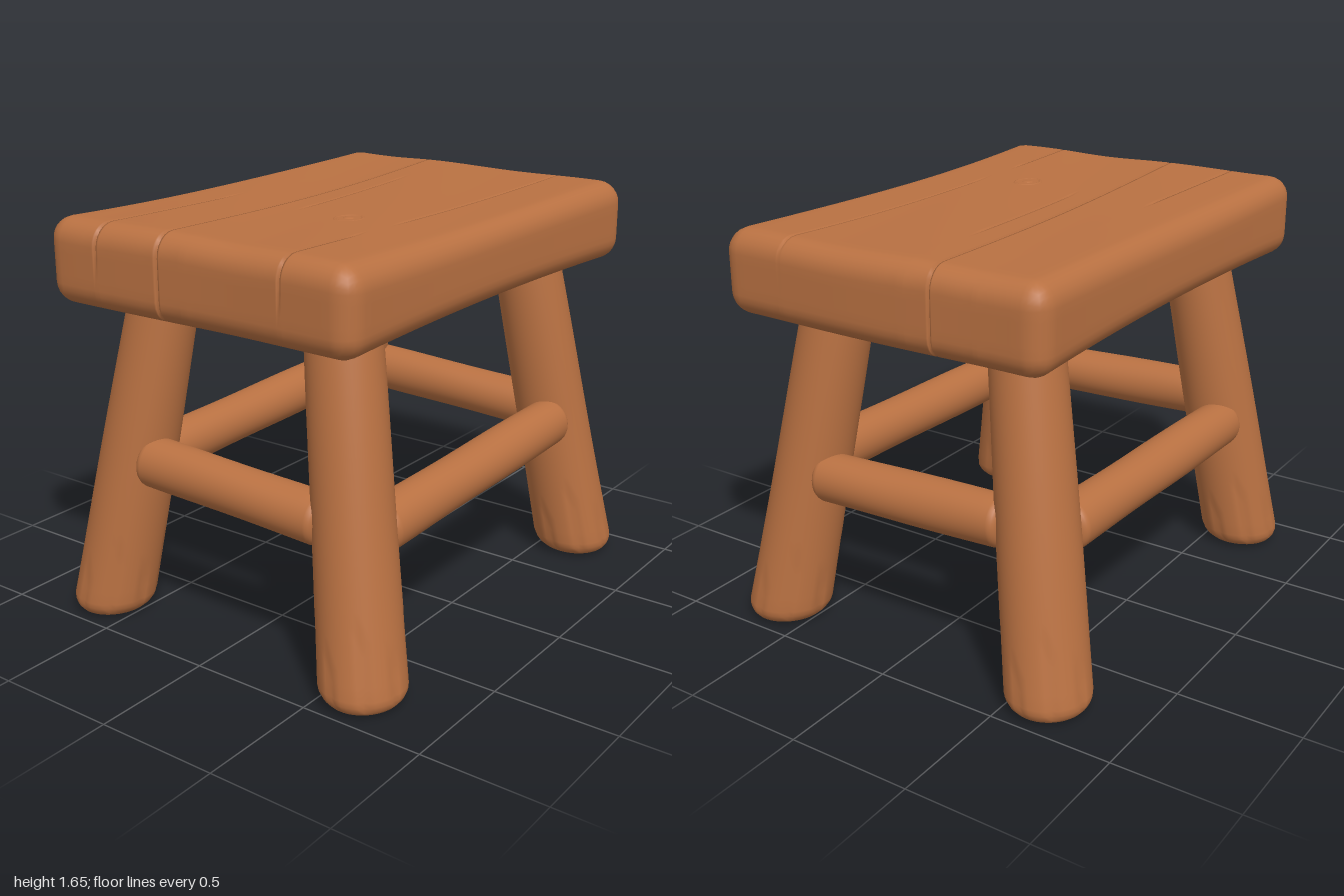
import * as THREE from 'three';
import { mergeVertices } from 'three/addons/utils/BufferGeometryUtils.js';

const wood = new THREE.MeshStandardMaterial({ color: 0xb97142 });
wood.name = 'warm wood';

// weld a geometry and move every vertex by a rule
function shape(geometry, rule) {
  geometry.deleteAttribute('uv');
  geometry.deleteAttribute('normal');
  const p = geometry.attributes.position;
  const v = new THREE.Vector3();
  for (let i = 0; i < p.count; i++) {
    rule(v.fromBufferAttribute(p, i));
    p.setXYZ(i, v.x, v.y, v.z);
  }
  const g = mergeVertices(geometry, 1e-5);
  g.computeVertexNormals();
  return g;
}

function part(name, geometry) {
  const mesh = new THREE.Mesh(geometry, wood);
  mesh.name = name;
  return mesh;
}

// upright pole with rounded ends, standing on y = 0
function pole(r0, r1, length, round, steps) {
  const pts = [new THREE.Vector2(0, 0)];
  for (let i = 0; i <= 5; i++) {
    const a = (i / 5) * Math.PI / 2;
    pts.push(new THREE.Vector2(r0 - round + round * Math.sin(a), round - round * Math.cos(a)));
  }
  for (let i = 1; i < steps; i++) {
    const t = i / steps;
    pts.push(new THREE.Vector2(r0 + (r1 - r0) * t, round + (length - 2 * round) * t));
  }
  for (let i = 5; i >= 0; i--) {
    const a = (i / 5) * Math.PI / 2;
    pts.push(new THREE.Vector2(r1 - round + round * Math.sin(a), length - round + round * Math.cos(a)));
  }
  pts.push(new THREE.Vector2(0, length));
  return new THREE.LatheGeometry(pts, 48);
}

// ---- seat: rounded slab with plank grooves ----
const HALF = [0.99, 0.165, 0.71], ROUND = 0.09, W = 0.007;
const grooves = [
  { s: -0.44, x0: -1.2, x1: -0.2, depth: 0.02 },
  { s: -0.2, x0: -1.2, x1: 1.2, depth: 0.022, through: true },
  { s: -0.085, x0: -0.27, x1: 0.52, depth: 0.014 },
  { s: 0.41, x0: -1.2, x1: -0.5, depth: 0.022 },
  { s: 0.41, x0: -0.3, x1: 1.0, depth: 0.014 },
];

// grid lines along one axis: finer at rounded edges and at grooves
function gridLines(half, step, extra = []) {
  const inner = half - ROUND, lines = [...extra];
  for (const t of [0, 0.27, 0.58, 1]) lines.push(inner + ROUND * t, -inner - ROUND * t);
  const n = Math.ceil(2 * inner / step);
  for (let i = 1; i < n; i++) {
    const q = -inner + 2 * inner * i / n;
    if (extra.every(e => Math.abs(e - q) > 0.01)) lines.push(q);
  }
  return [...new Set(lines)].sort((a, b) => a - b);
}

function seatGeometry() {
  const cuts = [...new Set(grooves.map(g => g.s))].flatMap(s => [-2, -1, 0, 1, 2].map(k => s + k * W));
  const lines = [gridLines(HALF[0], 0.04), gridLines(HALF[1], 0.04), gridLines(HALF[2], 0.04, cuts)];
  const seg = lines.map(l => l.length - 1);
  const clamp = THREE.MathUtils.clamp;
  return shape(new THREE.BoxGeometry(1, 1, 1, ...seg), v => {
    const p = v.toArray().map((c, i) => lines[i][Math.round((c + 0.5) * seg[i])]);
    const s = p[2];
    const q = p.map((c, i) => clamp(c, ROUND - HALF[i], HALF[i] - ROUND));
    const n = new THREE.Vector3(p[0] - q[0], p[1] - q[1], p[2] - q[2]).normalize();
    v.set(...q).addScaledVector(n, ROUND);
    // cut the grooves
    for (const g of grooves) {
      if (Math.abs(s - g.s) > 1e-4) continue;
      const fade = clamp(Math.min(v.x - g.x0, g.x1 - v.x) / 0.12, 0, 1);
      const drop = g.through ? (n.y < -0.5 ? 0.5 : 1) : clamp((v.y + 0.03) / 0.14, 0, 1);
      v.addScaledVector(n, -g.depth * fade * drop);
    }
    // slanted grain, narrow waist and hollowed faces
    const x = v.x, bow = 1 - x * x;
    const slant = s > -0.2 ? clamp((0.4 - s) / 0.45, 0, 1) : clamp((s + 0.44) / 0.24, 0, 1);
    v.z -= 0.06 * x * slant;
    v.z *= 1 - 0.03 * bow;
    v.x += 0.006 * Math.sin(5 * s + 1);
    if (v.y > 0) v.y += 0.003 - 0.016 * bow - 0.006 * s + 0.003 * Math.sin(9 * s + 3 * x);
    else v.y += 0.014 * bow - 0.005;
    v.y += 1.477;
  });
}

// ---- legs: splayed outwards, with short cracks near the foot ----
function legGeometry(sx, sz) {
  return shape(pole(0.167, 0.14, 1.42, 0.07, 24), v => {
    const r = Math.hypot(v.x, v.z), y = v.y;
    if (r > 1e-4) {
      const a = Math.atan2(v.z, v.x);
      const slot = (Math.round(a / (Math.PI / 24)) + 48) % 48;
      let k = 1 + 0.012 * Math.sin(3 * a + 2 * y + sx) + 0.008 * Math.sin(5 * y + 2 * sz);
      if (slot % 6 === 1 && y > 0.03 && y < 0.16 + 0.05 * (slot % 4)) k -= 0.05;
      v.x *= k;
      v.z *= k;
    }
    v.x += sx * (0.822 - 0.13 * y);
    v.z += sz * (0.638 - 0.16 * y);
  });
}

// ---- rungs: round poles between two points ----
function rung(name, from, to, r) {
  const a = new THREE.Vector3(...from), d = new THREE.Vector3(...to).sub(a);
  const geometry = shape(pole(r, r, d.length(), 0.035, 16), v => {
    const k = 1 + 0.015 * Math.sin(7 * v.y + 2 * Math.atan2(v.z, v.x));
    v.x *= k;
    v.z *= k;
  });
  const mesh = part(name, geometry);
  mesh.position.copy(a);
  mesh.quaternion.setFromUnitVectors(new THREE.Vector3(0, 1, 0), d.normalize());
  return mesh;
}

export function createModel() {
  const model = new THREE.Group();
  model.name = 'stool';
  model.add(part('seat', seatGeometry()));

  // knot in the seat top
  const knot = new THREE.Group();
  knot.name = 'knot';
  const ring = part('knotRing', new THREE.TorusGeometry(0.05, 0.008, 8, 28));
  ring.rotation.x = -Math.PI / 2;
  ring.scale.set(1.2, 1, 0.7);
  const core = part('knotCore', new THREE.SphereGeometry(0.026, 20, 12));
  core.scale.y = 0.3;
  knot.add(ring, core);
  knot.position.set(-0.31, 1.628, 0.2);
  model.add(knot);

  for (const sx of [-1, 1]) for (const sz of [-1, 1]) {
    model.add(part((sz > 0 ? 'front' : 'back') + (sx > 0 ? 'Left' : 'Right') + 'Leg', legGeometry(sx, sz)));
  }
  for (const s of [-1, 1]) {
    model.add(rung(s > 0 ? 'frontRung' : 'backRung', [-0.665, 0.6, s * 0.58], [0.64, 0.635, s * 0.58], 0.1));
    model.add(rung(s > 0 ? 'leftRung' : 'rightRung', [s * 0.775, 0.635, 0.44], [s * 0.775, 0.668, -0.43], 0.1));
  }
  return model;
}
